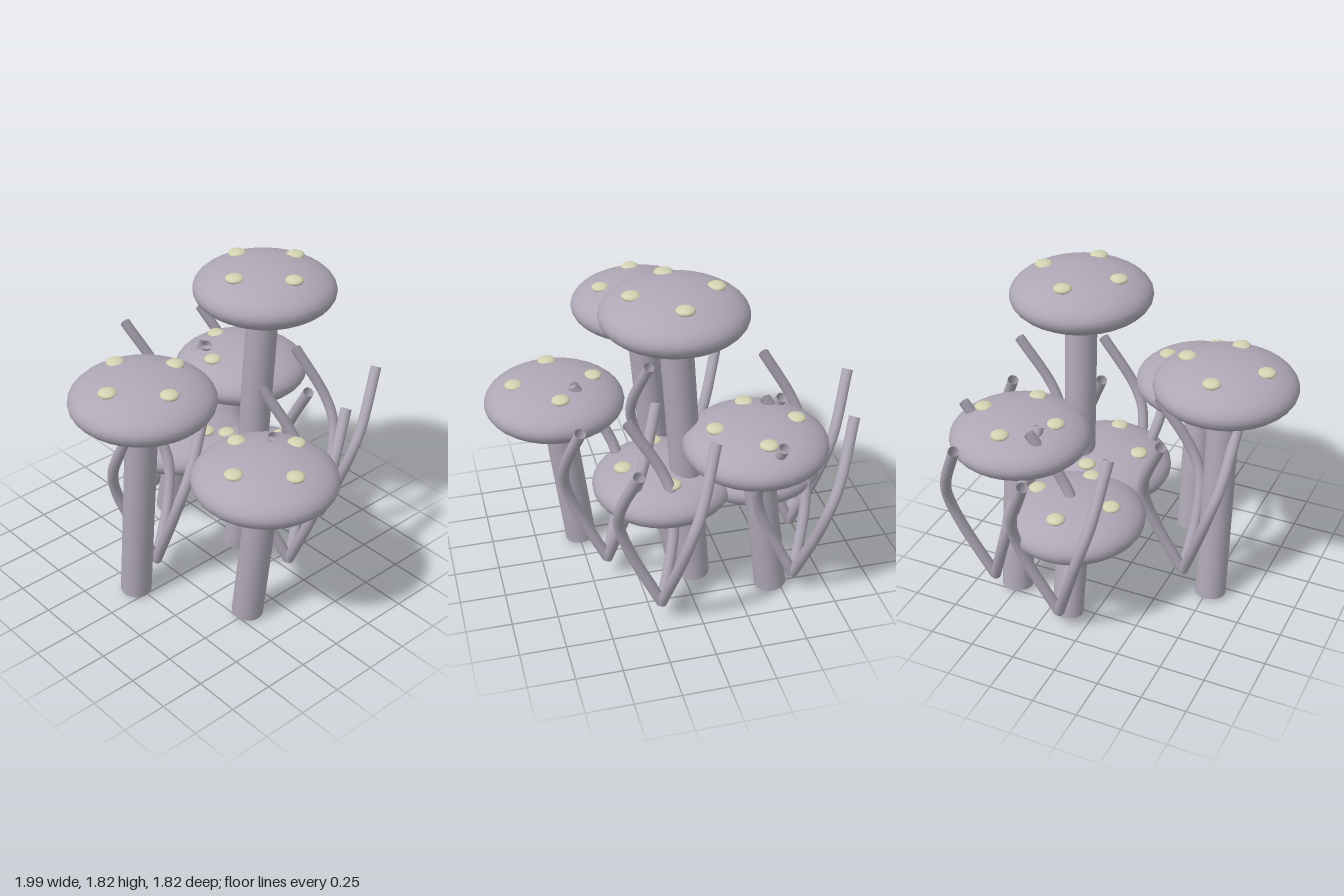
import * as THREE from 'three';

const flesh = new THREE.MeshStandardMaterial({ color: 0xaea8b6, side: THREE.DoubleSide });
flesh.name = 'mushroom grey';
const cream = new THREE.MeshStandardMaterial({ color: 0xd2d2b2 });
cream.name = 'spot cream';

const CAP_R = 0.385, CAP_H = 0.15, SPOT_OFFSET = 0.218;

// cap centres
const mushrooms = [
  [0.055, 1.67, -0.315],
  [0.045, 1.31, 0.52],
  [0.605, 0.955, 0.18],
  [-0.335, 0.955, -0.51],
  [-0.44, 0.59, -0.14],
  [0.093, 0.59, -0.215],
];

// ground points of the sprout clusters (x, z)
const clusters = [
  [-0.69, -0.125], [0.21, -0.66], [0.41, -0.21], [-0.085, 0.355], [-0.55, -0.595],
];

function add(parent, name, geometry, material) {
  const mesh = new THREE.Mesh(geometry, material);
  mesh.name = name;
  parent.add(mesh);
  return mesh;
}

function ellipsoid(rx, ry, rows) {
  return new THREE.SphereGeometry(1, 32, rows).scale(rx, ry, rx);
}

export function createModel() {
  const model = new THREE.Group();
  model.name = 'mushroomCluster';

  // mushrooms: leaning open stem, flattened cap, four spots
  const capGeo = ellipsoid(CAP_R, CAP_H, 20);
  const spotGeo = ellipsoid(0.05, 0.022, 12);
  const spotY = CAP_H * Math.sqrt(1 - (SPOT_OFFSET / CAP_R) ** 2);
  for (const [x, y, z] of mushrooms) {
    const mushroom = new THREE.Group();
    mushroom.name = 'mushroom';
    mushroom.position.set(x, y, z);
    model.add(mushroom);

    const line = new THREE.LineCurve3(
      new THREE.Vector3(-0.115, 0.015 - y, 0), new THREE.Vector3(0, 0, 0));
    add(mushroom, 'stem', new THREE.TubeGeometry(line, 1, 0.087, 24), flesh);
    add(mushroom, 'cap', capGeo, flesh);
    for (let i = 0; i < 4; i++) {
      const a = i * Math.PI / 2;
      add(mushroom, 'spot', spotGeo, cream)
        .position.set(SPOT_OFFSET * Math.cos(a), spotY, SPOT_OFFSET * Math.sin(a));
    }
  }

  // sprouts: three twisting hollow tubes from each ground point
  const path = new THREE.CatmullRomCurve3([
    [0, 0.12, 0], [0.155, 0.45, 0.02], [0.22, 0.65, 0], [0.23, 0.8, -0.06], [0.165, 1.11, -0.225],
  ].map((p) => new THREE.Vector3(...p)));
  const sproutGeo = new THREE.TubeGeometry(path, 28, 0.03, 14);
  for (const [x, z] of clusters) {
    const cluster = new THREE.Group();
    cluster.name = 'sproutCluster';
    cluster.position.set(x, 0, z);
    model.add(cluster);
    for (let i = 0; i < 3; i++) {
      add(cluster, 'sprout', sproutGeo, flesh).rotation.y = i * Math.PI * 2 / 3;
    }
  }
  return model;
}
